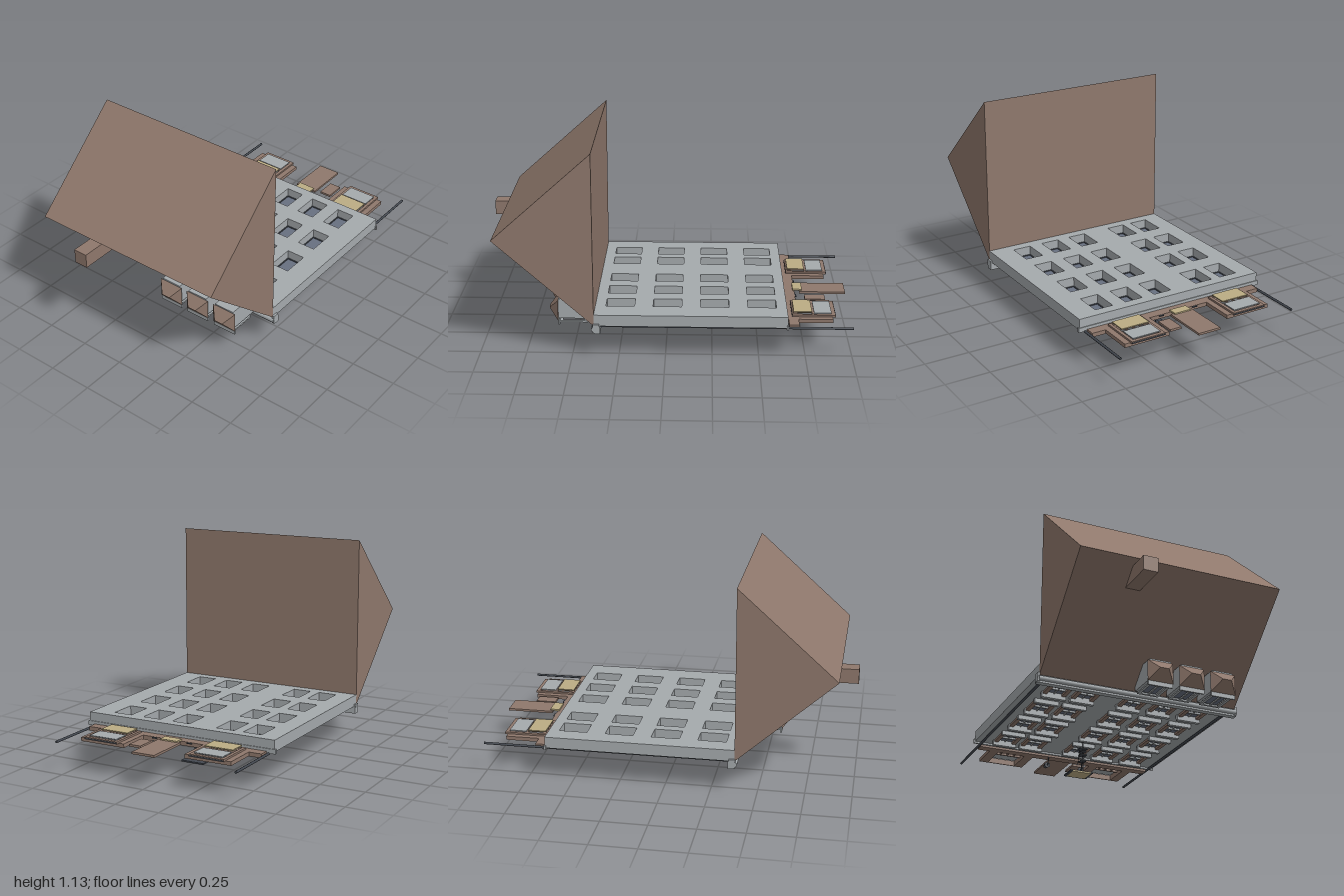
import * as THREE from 'three';
import { ConvexGeometry } from 'three/addons/geometries/ConvexGeometry.js';

const mat = (name, color) => {
  const m = new THREE.MeshStandardMaterial({ color, side: THREE.DoubleSide });
  m.name = name;
  return m;
};

export function createModel() {
  const stone = mat('grey stone', 0xa5aaad), brown = mat('brown', 0x8f786c);
  const metal = mat('dark metal', 0x434850), glass = mat('window glass', 0x687080);
  const gold = mat('pale gold', 0xbcad84);
  const model = new THREE.Group();
  model.name = 'townhouseFacade';

  const add = (name, geo, material, parent = model) => {
    const m = new THREE.Mesh(geo, material);
    m.name = name;
    parent.add(m);
    return m;
  };
  // box given by its extents on each axis
  const box = (name, material, x0, x1, y0, y1, z0, z1, parent) => {
    const m = add(name, new THREE.BoxGeometry(x1 - x0, y1 - y0, z1 - z0), material, parent);
    m.position.set((x0 + x1) / 2, (y0 + y1) / 2, (z0 + z1) / 2);
    return m;
  };
  const rod = (name, material, a, b, r, parent) => {
    const p = new THREE.Vector3(...a), d = new THREE.Vector3(...b).sub(p);
    const m = add(name, new THREE.CylinderGeometry(r, r, d.length(), 8), material, parent);
    m.position.copy(p).addScaledVector(d, 0.5);
    m.quaternion.setFromUnitVectors(new THREE.Vector3(0, 1, 0), d.normalize());
    return m;
  };
  const rect = (S, x0, x1, z0, z1) => {
    const s = new S();
    s.moveTo(x0, z0); s.lineTo(x1, z0); s.lineTo(x1, z1); s.lineTo(x0, z1); s.closePath();
    return s;
  };
  // flat slab with rectangular openings, from y0 up to y1
  const slab = (name, material, outer, holes, y0, y1, parent) => {
    const s = rect(THREE.Shape, ...outer);
    holes.forEach(h => s.holes.push(rect(THREE.Path, ...h)));
    const g = new THREE.ExtrudeGeometry(s, { depth: y1 - y0, bevelEnabled: false });
    g.rotateX(Math.PI / 2);
    g.translate(0, y1, 0);
    return add(name, g, material, parent);
  };

  // wall with its grid of window openings
  const columns = [-0.41, -0.25, 0.018, 0.198, 0.381], rows = [-0.517, -0.262, -0.008, 0.246];
  const W = 0.053, H = 0.077;
  const openings = [];
  for (const x of columns) for (const z of rows) openings.push([x - W, x + W, z - H, z + H]);
  slab('wall', stone, [-0.565, 0.56, -0.65, 0.38], openings, 0.185, 0.248);

  // windows: pane, dark edge, brown surround, glazing bar and sill
  for (const [x0, x1, z0, z1] of openings) {
    const w = new THREE.Group();
    w.name = 'window';
    model.add(w);
    const xc = (x0 + x1) / 2, zc = (z0 + z1) / 2;
    box('pane', glass, x0, x1, 0.189, 0.194, z0, z1, w);
    slab('paneEdge', metal, [x0, x1, z0, z1], [[x0 + 0.006, x1 - 0.006, z0 + 0.006, z1 - 0.006]], 0.194, 0.198, w);
    slab('surround', brown, [x0 - 0.01, x1 + 0.01, z0 - 0.005, z1 + 0.015],
      [[x0 + 0.012, x1 - 0.012, z0 + 0.012, z1 - 0.012]], 0.172, 0.186, w);
    box('glazingBar', stone, x0, x1, 0.178, 0.188, zc - 0.005, zc + 0.005, w);
    box('mullion', stone, xc - 0.003, xc + 0.003, 0.18, 0.188, z0, z1, w);
    box('sill', stone, x0 - 0.015, x1 + 0.015, 0.154, 0.186, z0, z0 + 0.022, w);
    box('lintel', stone, x0 - 0.015, x1 + 0.015, 0.162, 0.186, z1, z1 + 0.02, w);
  }

  // roof prism, chimney and eaves
  const tri = new THREE.Shape();
  tri.moveTo(-0.38, 0.185); tri.lineTo(-0.38, 1.135); tri.lineTo(-0.91, 0.66); tri.closePath();
  const roof = new THREE.ExtrudeGeometry(tri, { depth: 1.125, bevelEnabled: false });
  roof.rotateY(Math.PI / 2);
  roof.translate(-0.565, 0, 0);
  add('roof', roof, brown);
  box('chimney', brown, -0.268, -0.188, 0.55, 0.63, 0.72, 1);
  box('cornice', stone, -0.575, 0.572, 0.145, 0.187, 0.345, 0.378);
  rod('gutter', stone, [-0.57, 0.168, 0.38], [0.57, 0.168, 0.38], 0.014);
  for (const x of [-0.57, 0.565]) box('corniceEnd', stone, x - 0.006, x + 0.007, 0.15, 0.198, 0.35, 0.385);
  box('baseMoulding', stone, -0.572, 0.567, 0.175, 0.2, -0.655, -0.643);

  // dormers with hipped roofs
  for (const x of [0.0215, 0.2025, 0.384]) {
    const d = new THREE.Group();
    d.name = 'dormer';
    d.position.x = x;
    model.add(d);
    box('body', stone, -0.06, 0.06, 0.178, 0.291, 0.4, 0.58, d);
    const pts = [];
    for (const s of [-1, 1]) {
      pts.push(new THREE.Vector3(s * 0.073, 0.168, 0.58), new THREE.Vector3(s * 0.073, 0.283, 0.58));
      pts.push(new THREE.Vector3(s * 0.025, 0.227, 0.63));
    }
    add('hipRoof', new ConvexGeometry(pts), brown, d);
    box('eave', stone, -0.07, 0.07, 0.145, 0.18, 0.571, 0.58, d);
    box('pane', glass, -0.045, 0.045, 0.172, 0.178, 0.42, 0.56, d);
    slab('frame', stone, [-0.06, 0.06, 0.42, 0.572], [[-0.045, -0.004, 0.435, 0.555], [0.004, 0.045, 0.435, 0.555]], 0.155, 0.164, d);
  }

  // drainpipes down both sides
  for (const x of [-0.533, 0.53]) rod('drainpipe', metal, [x, 0.174, 0.36], [x, 0.174, -1], 0.007);

  // shop front: fascia, two display windows, door and notice board
  box('fascia', brown, -0.525, 0.522, 0.165, 0.187, -0.714, -0.66);
  for (const x of [-0.319, 0.31]) {
    const s = new THREE.Group();
    s.name = 'shopWindow';
    s.position.x = x;
    model.add(s);
    slab('casing', brown, [-0.133, 0.133, -0.9, -0.7], [[-0.082, 0.082, -0.894, -0.705]], 0.166, 0.187, s);
    slab('frame', brown, [-0.1, 0.1, -0.915, -0.682], [[-0.082, 0.082, -0.895, -0.8], [-0.082, 0.082, -0.79, -0.69]], 0.184, 0.197, s);
    box('lowerPane', stone, -0.082, 0.082, 0.198, 0.203, -0.894, -0.8, s);
    box('upperPane', gold, -0.082, 0.082, 0.204, 0.21, -0.788, -0.69, s);
    for (const b of [-0.041, 0, 0.041]) box('bar', brown, b - 0.003, b + 0.003, 0.184, 0.194, -0.79, -0.69, s);
    for (const z of [-0.917, -0.684]) box('edge', metal, -0.1, 0.1, 0.186, 0.193, z, z + 0.004, s);
  }
  box('door', brown, -0.07, 0.063, 0.178, 0.19, -1, -0.742);
  box('fanlight', gold, -0.055, 0.046, 0.188, 0.197, -0.757, -0.705);
  box('noticeBoard', brown, 0.088, 0.157, 0.172, 0.184, -0.88, -0.767);

  // lanterns on brackets
  for (const x of [-0.107, 0.105]) {
    const l = new THREE.Group();
    l.name = 'lantern';
    model.add(l);
    rod('bracket', metal, [x, 0.187, -0.663], [x, 0.112, -0.663], 0.003, l);
    rod('hook', metal, [x, 0.121, -0.66], [x, 0.121, -0.682], 0.003, l);
    const lamp = add('lamp', new THREE.CylinderGeometry(0.018, 0.011, 0.035, 6), metal, l);
    lamp.rotation.x = Math.PI / 2;
    lamp.position.set(x, 0.121, -0.695);
    box('bracketTop', metal, x - 0.014, x + 0.014, 0.18, 0.186, -0.722, -0.714, l);
  }

  // hanging sign on its arm
  const sign = new THREE.Group();
  sign.name = 'hangingSign';
  model.add(sign);
  rod('arm', metal, [0, 0.187, -0.39], [0, 0.006, -0.39], 0.003, sign);
  rod('brace', metal, [0, 0.182, -0.43], [0, 0.065, -0.47], 0.002, sign);
  for (const [y, r] of [[0.137, 0.024], [0.12, 0.015], [0.1, 0.02], [0.064, 0.017]])
    box('scroll', metal, -r, r, y - 0.003, y + 0.003, -0.42, -0.378, sign);
  box('board', metal, -0.068, 0.068, 0.002, 0.01, -0.51, -0.406, sign);
  slab('boardFace', gold, [-0.055, 0.055, -0.5, -0.405], [], 0, 0.008, sign);

  return model;
}
